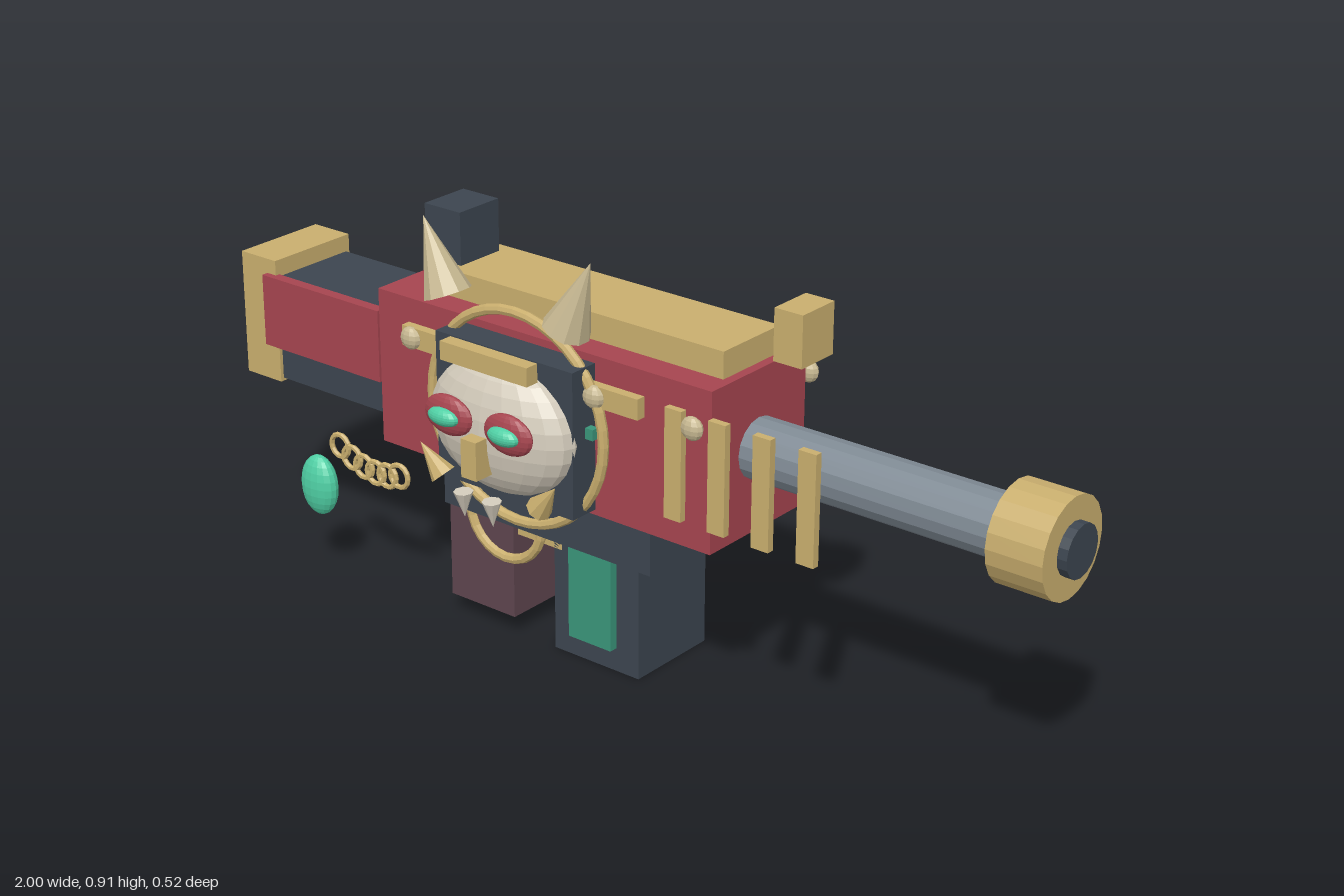
import * as THREE from 'three';

const mat = (name, color) => {
  const m = new THREE.MeshStandardMaterial({ color, flatShading: true });
  m.name = name;
  return m;
};

export function createModel() {
  const red = mat('crimson', 0xa6454f);
  const gold = mat('gold', 0xc9ae6e);
  const dark = mat('gunmetal', 0x3c454f);
  const steel = mat('steel', 0x7f8a94);
  const teal = mat('teal', 0x3a957a);
  const gem = mat('gem', 0x4fcfa4);
  const bone = mat('bone', 0xd3cbbb);
  const horn = mat('horn', 0xc8b992);
  const maroon = mat('maroon', 0x5e454e);

  const model = new THREE.Group();
  model.name = 'ornateRifle';
  const cz = -0.0625; // centre line of the body

  const add = (name, geo, material, x, y, z, parent = model) => {
    const mesh = new THREE.Mesh(geo, material);
    mesh.name = name;
    mesh.position.set(x, y, z);
    parent.add(mesh);
    return mesh;
  };
  // box given by its limits on each axis
  const box = (name, material, [x0, x1], [y0, y1], [z0, z1], parent) =>
    add(name, new THREE.BoxGeometry(x1 - x0, y1 - y0, z1 - z0), material,
      (x0 + x1) / 2, (y0 + y1) / 2, (z0 + z1) / 2, parent);
  const ball = (name, material, x, y, z, rx, ry, rz, parent, w = 16, h = 12) =>
    add(name, new THREE.SphereGeometry(1, w, h).scale(rx, ry, rz), material, x, y, z, parent);
  // cylinder along x
  const rod = (name, material, r, x0, x1, sides) =>
    add(name, new THREE.CylinderGeometry(r, r, x1 - x0, sides).rotateZ(-Math.PI / 2),
      material, (x0 + x1) / 2, 0.538, cz);
  // cone from base centre to tip
  const spike = (name, material, base, tip, r, sides, parent) => {
    const a = new THREE.Vector3(...base), b = new THREE.Vector3(...tip);
    const dir = b.clone().sub(a), mid = a.clone().add(b).multiplyScalar(0.5);
    const m = add(name, new THREE.ConeGeometry(r, dir.length(), sides), material, mid.x, mid.y, mid.z, parent);
    m.quaternion.setFromUnitVectors(new THREE.Vector3(0, 1, 0), dir.normalize());
    return m;
  };

  // body and stock
  box('receiver', red, [-0.56, 0.29], [0.365, 0.70], [-0.21, 0.085]);
  box('stock', dark, [-0.91, -0.55], [0.40, 0.63], [-0.165, 0.037]);
  box('buttPlate', gold, [-1, -0.9], [0.393, 0.667], [-0.175, 0.045]);
  box('stockPanel', red, [-0.925, -0.59], [0.478, 0.635], [0.035, 0.06]);

  // top rail and sights
  box('topRail', gold, [-0.44, 0.27], [0.70, 0.756], [-0.15, 0.025]);
  box('rearSight', dark, [-0.51, -0.415], [0.756, 0.868], [-0.12, -0.005]);
  box('frontSight', gold, [0.355, 0.42], [0.747, 0.853], [-0.112, -0.014]);

  // barrel
  rod('barrel', steel, 0.063, 0.28, 0.88, 16);
  rod('muzzle', gold, 0.101, 0.862, 0.98, 20);
  rod('bore', dark, 0.053, 0.95, 1, 16);

  // upright bars along the front side
  for (let i = 0; i < 4; i++) {
    const x = 0.21 + i * 0.103;
    box('sideBar', gold, [x - 0.02, x + 0.02], [0.42, 0.648], [0.084, 0.1]);
  }

  // trims, light strips and rivets on both sides
  for (const s of [1, -1]) {
    const strip = (a, b) => [cz + s * a, cz + s * b].sort((p, q) => p - q);
    box('sideTrim', gold, [-0.465, 0.14], [0.612, 0.655], strip(0.16, 0.181));
    box('lightStrip', teal, [-0.28, 0.032], [0.54, 0.563], strip(0.165, 0.183));
    for (let i = 0; i < 4; i++)
      ball('rivet', horn, -0.44 + i * 0.237, 0.633, cz + s * 0.182, 0.025, 0.024, 0.015, model, 10, 8);
  }

  // lower body
  box('lowerBody', dark, [-0.415, 0.125], [0.258, 0.365], [-0.185, 0.06]);
  box('magazine', dark, [-0.145, 0.073], [0, 0.26], [-0.185, 0.03]);
  box('magazinePanel', teal, [-0.092, 0.017], [0.052, 0.257], [0.03, 0.05]);
  box('grip', maroon, [-0.416, -0.243], [0.042, 0.26], [-0.17, 0.044]);
  box('trigger', gold, [-0.245, -0.125], [0.226, 0.262], [-0.03, 0.03]);
  add('triggerGuard', new THREE.TorusGeometry(0.095, 0.011, 8, 24), gold, -0.26, 0.27, 0.046);

  // skull ornament
  const skull = new THREE.Group();
  skull.name = 'skullOrnament';
  model.add(skull);
  const sx = -0.164;
  box('backPlate', dark, [-0.337, 0.013], [0.38, 0.687], [0.09, 0.157], skull);
  ball('skull', bone, sx, 0.532, 0.152, 0.18, 0.14, 0.076, skull, 20, 14);
  box('brow', gold, [-0.276, -0.054], [0.658, 0.697], [0.18, 0.211], skull);
  box('nose', gold, [-0.184, -0.145], [0.452, 0.533], [0.2, 0.258], skull);
  add('halo', new THREE.TorusGeometry(0.221, 0.011, 8, 40), gold, sx, 0.535, 0.118, skull);
  for (const s of [-1, 1]) {
    ball('eyeSocket', red, sx + s * 0.077, 0.557, 0.228, 0.061, 0.042, 0.018, skull);
    ball('eye', gem, sx + s * 0.077, 0.558, 0.243, 0.038, 0.019, 0.018, skull);
    spike('fang', bone, [sx + s * 0.037, 0.408, 0.235], [sx + s * 0.037, 0.352, 0.232], 0.02, 8, skull);
    spike('tusk', gold, [sx + s * 0.125, 0.405, 0.197], [sx + s * 0.175, 0.466, 0.207], 0.027, 8, skull);
    spike('horn', horn, [sx + s * 0.151, 0.765, 0.142], [sx + s * 0.211, 0.912, 0.142], 0.049, 10, skull);
  }

  // hanging chain and pendant
  const chain = new THREE.Group();
  chain.name = 'charm';
  model.add(chain);
  for (let i = 0; i < 6; i++) {
    const t = i / 5;
    const y = 0.297 - 0.022 * t - 0.065 * t * (1 - t) * 1.3;
    add('chainLink', new THREE.TorusGeometry(0.025, 0.006, 6, 14), gold, -0.72 + 0.17 * t, y, 0.054, chain);
  }
  ball('pendant', gem, -0.755, 0.208, 0.085, 0.048, 0.068, 0.029, chain);

  return model;
}
